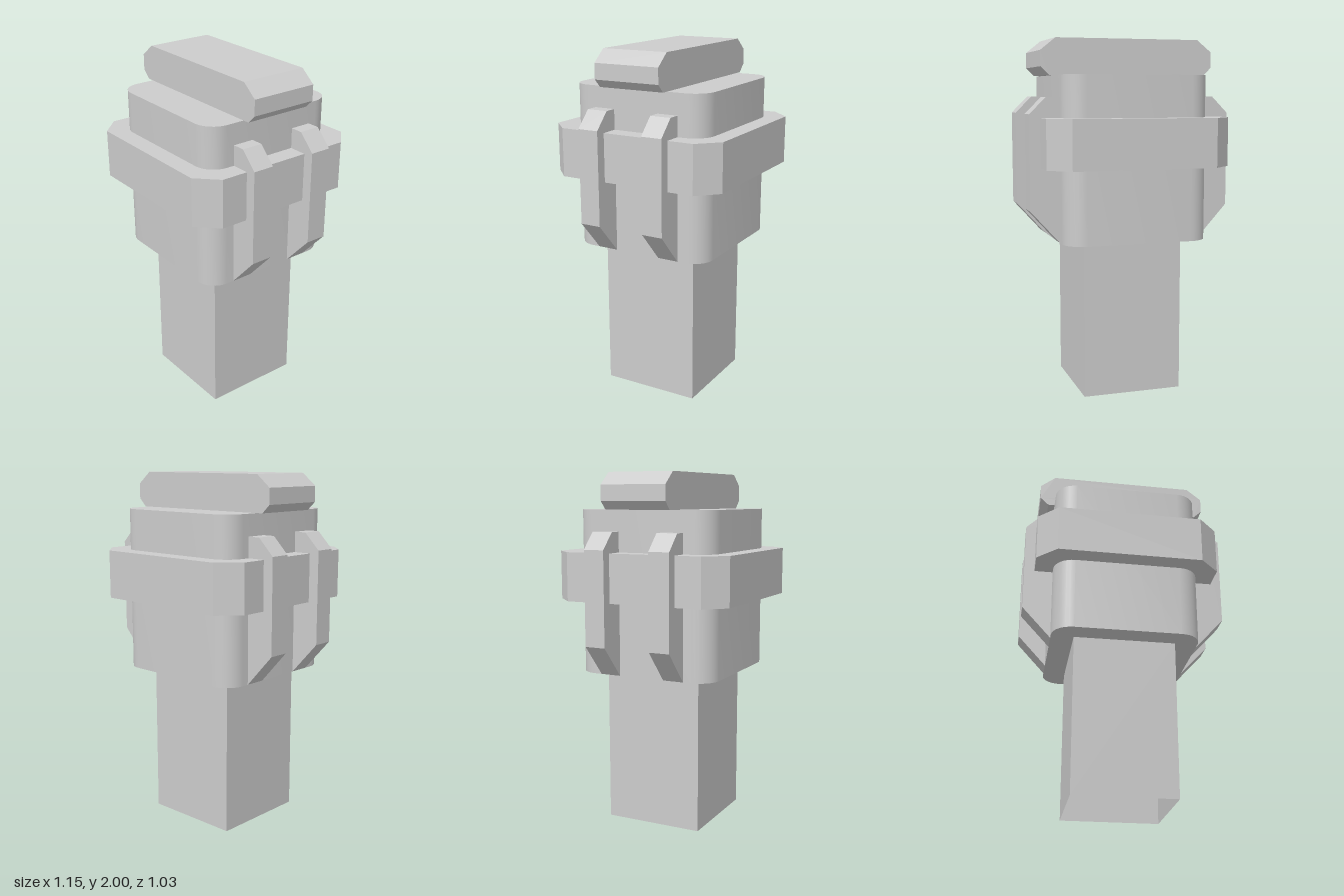
import * as THREE from 'three';
import { toCreasedNormals } from 'three/addons/utils/BufferGeometryUtils.js';

const material = new THREE.MeshStandardMaterial({ color: 0xcccccc });
const openMaterial = new THREE.MeshStandardMaterial({ color: 0xcccccc, side: THREE.DoubleSide });

const polygon = (points) => new THREE.Shape(points.map(([x, y]) => new THREE.Vector2(x, y)));

// Square outline with rounded corners
function roundedSquare(half, radius) {
  const shape = new THREE.Shape();
  const c = half - radius;
  [[c, c], [-c, c], [-c, -c], [c, -c]].forEach(([x, y], i) =>
    shape.absarc(x, y, radius, i * Math.PI / 2, (i + 1) * Math.PI / 2, false));
  shape.closePath();
  return shape;
}

// Square outline with cut corners
function chamferedSquare(half, cut) {
  const c = half - cut;
  return polygon([[half, -c], [half, c], [c, half], [-c, half],
    [-half, c], [-half, -c], [-c, -half], [c, -half]]);
}

const extrude = (shape, depth) =>
  new THREE.ExtrudeGeometry(shape, { depth, bevelEnabled: false, curveSegments: 4 });

// Raise a plan outline from y0 to y1
const extrudeUp = (shape, y0, y1) =>
  extrude(shape, y1 - y0).rotateX(-Math.PI / 2).translate(0, y0, 0);

// Extrude a front profile, centred on z
const extrudeAcross = (shape, width, z = 0) =>
  extrude(shape, width).translate(0, 0, z - width / 2);

export function createModel() {
  const group = new THREE.Group();
  const add = (name, geometry, mat = material) => {
    const mesh = new THREE.Mesh(geometry, mat);
    mesh.name = name;
    group.add(mesh);
  };

  // Square post, hollow and open at the bottom
  const post = new THREE.CylinderGeometry(0.285 * Math.SQRT2, 0.285 * Math.SQRT2, 0.885, 4, 1, true)
    .rotateY(Math.PI / 4).translate(0, 0.4425, 0);
  add('post', toCreasedNormals(post, 0.5), openMaterial);

  // Rounded housing and the band around it
  add('housing', toCreasedNormals(extrudeUp(roundedSquare(0.412, 0.115), 0.885, 1.8), 0.6));
  add('band', extrudeUp(chamferedSquare(0.516, 0.112), 1.3, 1.57));

  // Two vertical ribs on each side
  const rib = [[0.38, 0.885], [0.412, 0.885], [0.575, 1.065], [0.575, 1.59], [0.483, 1.682], [0.38, 1.682]];
  for (const side of [1, -1]) {
    const points = rib.map(([x, y]) => [x * side, y]);
    for (const z of [0.193, -0.196]) {
      add(`${side > 0 ? 'left' : 'right'}${z > 0 ? 'Front' : 'Back'}Rib`,
        extrudeAcross(polygon(points), 0.12, z));
    }
  }

  // Chamfered bar across the top
  const half = [[0.45, 1.8], [0.497, 1.845], [0.497, 1.932], [0.412, 2]];
  const mirrored = half.map(([x, y]) => [-x, y]).reverse();
  add('topBar', extrudeAcross(polygon([...half, ...mirrored]), 0.387));

  return group;
}
